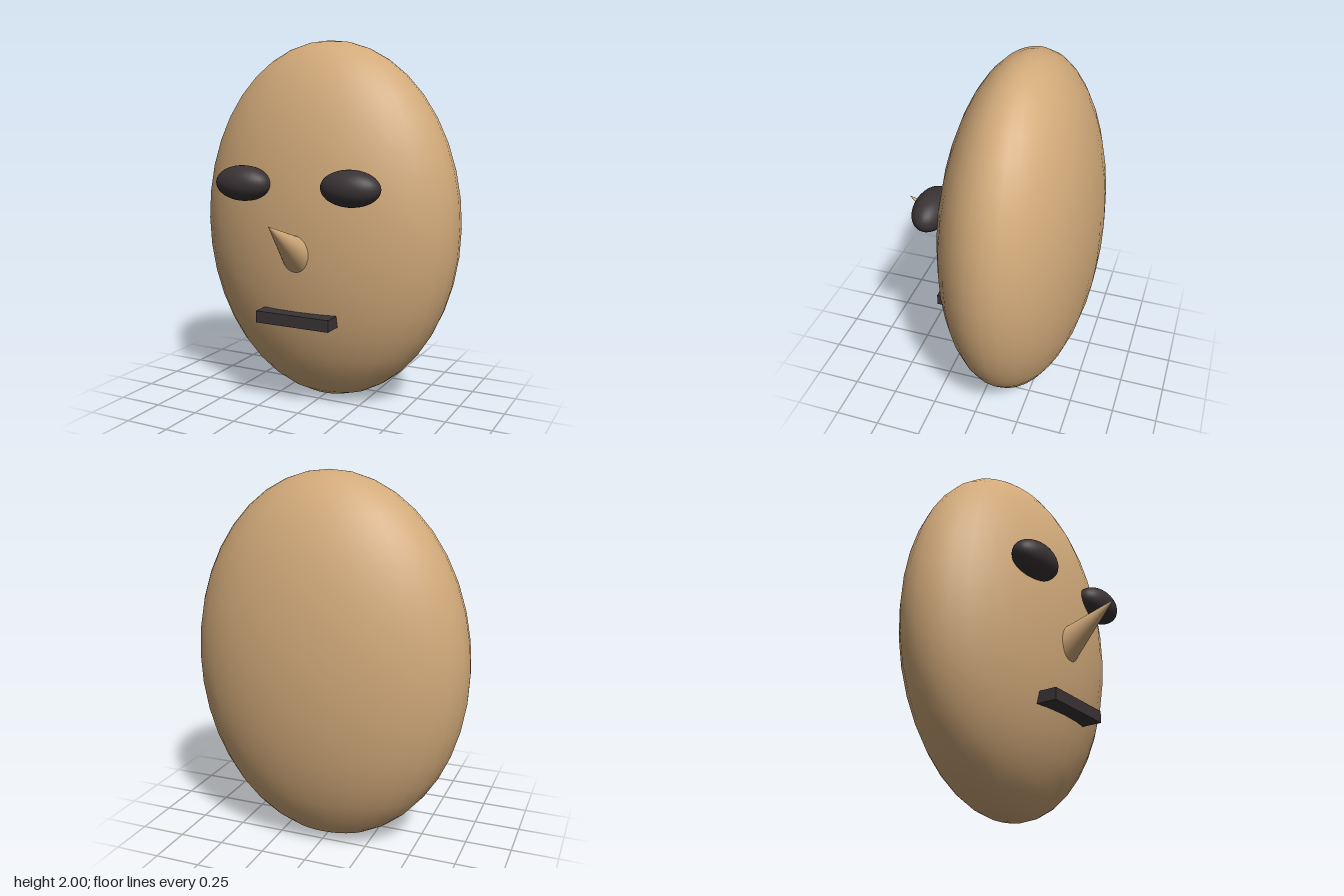
import * as THREE from 'three';

const skin = new THREE.MeshStandardMaterial({ color: 0xd2aa7a });
skin.name = 'tan skin';
const dark = new THREE.MeshStandardMaterial({ color: 0x3a3335 });
dark.name = 'dark features';

function add(group, name, geometry, material, x, y, z) {
  const mesh = new THREE.Mesh(geometry, material);
  mesh.name = name;
  mesh.position.set(x, y, z);
  group.add(mesh);
  return mesh;
}

export function createModel() {
  const model = new THREE.Group();
  model.name = 'maskHead';

  // Flattened egg-shaped head
  add(model, 'head', new THREE.SphereGeometry(1, 32, 20), skin, 0, 1, -0.13)
    .scale.set(0.76, 1, 0.417);

  // Wide oval eyes, mirrored
  for (const side of [-1, 1]) {
    add(model, side > 0 ? 'leftEye' : 'rightEye', new THREE.SphereGeometry(1, 32, 20), dark,
      side * 0.314, 1.24, 0.27).scale.set(0.163, 0.095, 0.095);
  }

  // Pointed nose, tilted upward, tip at the local origin
  const length = 0.4;
  const noseShape = new THREE.ConeGeometry(0.101, length, 32).translate(0, -length / 2, 0);
  add(model, 'nose', noseShape, skin, 0, 1.065, 0.545)
    .rotation.x = THREE.MathUtils.degToRad(58);

  // Straight bar mouth
  add(model, 'mouth', new THREE.BoxGeometry(0.432, 0.064, 0.2), dark, 0, 0.53, 0.22);

  return model;
}
